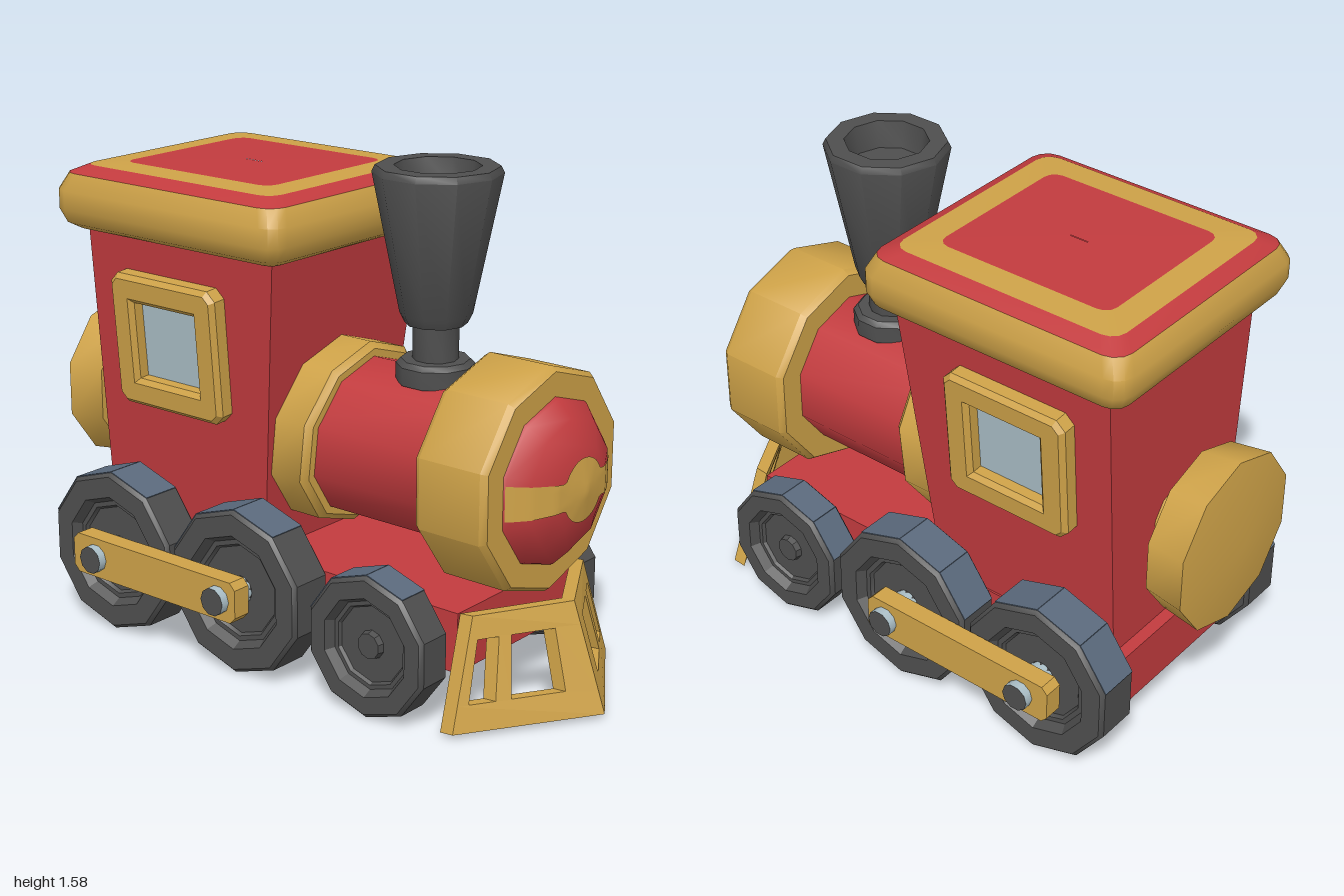
import * as THREE from 'three';
import { toCreasedNormals } from 'three/addons/utils/BufferGeometryUtils.js';
import { ConvexGeometry } from 'three/addons/geometries/ConvexGeometry.js';

const paint = (name, color) => Object.assign(new THREE.MeshStandardMaterial({ color }), { name });
const SIDES = 10;
const AXIS_Y = 0.705; // height of the boiler's centre line

// Ten-sided turned solid; pts are [radius, height]
function turned(pts, crease = 0.7) {
  const geo = new THREE.LatheGeometry(pts.map(([r, h]) => new THREE.Vector2(r, h)), SIDES);
  return toCreasedNormals(geo, crease);
}

// Solid hull of [x, y, z] corners
const hull = (pts) => new ConvexGeometry(pts.map((p) => new THREE.Vector3(...p)));

// Horizontal rounded-rectangle loop, counterclockwise from above
function roundedLoop(hx, hz, r, y, cz) {
  const out = [];
  for (let c = 0; c < 4; c++) {
    const sx = c === 0 || c === 3 ? 1 : -1, sz = c < 2 ? -1 : 1;
    for (let k = 0; k <= 3; k++) {
      const a = (c + k / 3) * Math.PI / 2;
      out.push([sx * (hx - r) + r * Math.cos(a), y, cz + sz * (hz - r) - r * Math.sin(a)]);
    }
  }
  return out;
}

// Skin between stacked loops
function loft(loops) {
  const n = loops[0].length, index = [];
  for (let i = 0; i < loops.length - 1; i++) {
    for (let t = 0; t < n; t++) {
      const a = i * n + t, b = i * n + (t + 1) % n;
      index.push(a, b, b + n, a, b + n, a + n);
    }
  }
  const geo = new THREE.BufferGeometry();
  geo.setAttribute('position', new THREE.Float32BufferAttribute(loops.flat(2), 3));
  geo.setIndex(index);
  return toCreasedNormals(geo, 0.75);
}

export function createModel() {
  const model = new THREE.Group();
  model.name = 'toyTrain';
  const red = paint('red', 0xc23b3e);
  const gold = paint('gold', 0xcea248);
  const grey = paint('darkGrey', 0x4e4e4e);
  const slate = paint('slateBlue', 0x5a697c);
  const glass = paint('paleBlue', 0xacc0c8);

  function add(name, geo, mat, x = 0, y = 0, z = 0) {
    const mesh = new THREE.Mesh(geo, mat);
    mesh.name = name;
    mesh.position.set(x, y, z);
    model.add(mesh);
    return mesh;
  }
  // Turned part lying along the boiler axis (heights become z)
  const along = (name, pts, mat) => add(name, turned(pts).rotateX(Math.PI / 2), mat, 0, AXIS_Y, 0);

  // Chassis and cab
  add('chassis', new THREE.BoxGeometry(0.58, 0.19, 1.46), red, 0, 0.255, -0.06);
  const cab = [];
  for (const s of [-1, 1]) {
    cab.push([s * 0.283, 0.34, -0.085], [s * 0.283, 0.34, -0.75], [s * 0.358, 1.32, 0.022], [s * 0.358, 1.32, -0.75]);
  }
  add('cab', hull(cab), red);

  // Roof with painted bands, each ring being [inset, y, corner radius]
  const ring = ([inset, y, r]) => roundedLoop(0.435 - inset, 0.467 - inset, r, y, -0.37);
  const roof = (name, rings, mat) => add(name, loft(rings.map(ring)), mat);
  roof('roofEdge', [[0.434, 1.3, 0.001], [0.055, 1.3, 0.03], [0.02, 1.32, 0.05], [0, 1.365, 0.06],
    [0, 1.425, 0.06], [0.025, 1.478, 0.06]], gold);
  roof('roofRim', [[0.025, 1.478, 0.06], [0.075, 1.502, 0.05]], red);
  roof('roofStripe', [[0.075, 1.502, 0.05], [0.165, 1.507, 0.04]], gold);
  roof('roofCentre', [[0.165, 1.507, 0.04], [0.434, 1.508, 0.001]], red);

  // Side windows leaning with the cab walls
  const w = 0.22, h = 0.215, c = 0.03;
  const frame = new THREE.Shape([[w, h - c], [w - c, h], [c - w, h], [-w, h - c], [-w, c - h], [c - w, -h], [w - c, -h], [w, c - h]]
    .map((p) => new THREE.Vector2(...p)));
  frame.holes.push(new THREE.Path([[-0.128, -0.125], [-0.128, 0.125], [0.128, 0.125], [0.128, -0.125]]
    .map((p) => new THREE.Vector2(...p))));
  for (const s of [-1, 1]) {
    const place = (geo) => geo.rotateY(s * Math.PI / 2).rotateZ(-s * 0.079);
    const frameGeo = new THREE.ExtrudeGeometry(frame, {
      depth: 0.045, bevelThickness: 0.015, bevelSize: 0.015, bevelOffset: -0.015, bevelSegments: 1,
    });
    add('windowFrame', place(frameGeo), gold, s * 0.328, 0.975, -0.405);
    add('windowGlass', place(new THREE.BoxGeometry(0.29, 0.285, 0.008)), glass, s * 0.335, 0.975, -0.405);
  }

  // Boiler, front ring and nose
  along('boiler', [[0, -0.1], [0.255, -0.1], [0.255, 0.6], [0, 0.6]], red);
  along('frontRing', [[0, 0.535], [0.335, 0.535], [0.35, 0.555], [0.35, 0.77], [0.335, 0.79], [0, 0.79]], gold);
  const nose = [[0.262, 0.785], [0.255, 0.8], [0.205, 0.85], [0.13, 0.888], [0, 0.91]];
  along('nose', nose, red);

  // Collar sheared to follow the cab front
  const collar = turned([[0, -0.1], [0.3, -0.1], [0.3, 0.07], [0.28, 0.09], [0, 0.09]]).rotateX(Math.PI / 2);
  const cp = collar.attributes.position;
  for (let i = 0; i < cp.count; i++) cp.setZ(i, cp.getZ(i) + cp.getY(i) * 0.11);
  add('boilerCollar', collar, gold, 0, AXIS_Y, 0);

  // Gold band with a round centre, laid on the faceted nose
  const noseDepth = (x, y) => {
    let r = 0;
    for (let k = 0; k < SIDES; k++) {
      const a = (k + 0.5) * 2 * Math.PI / SIDES;
      r = Math.max(r, (x * Math.sin(a) + y * Math.cos(a)) / Math.cos(Math.PI / SIDES));
    }
    let i = nose.length - 1;
    while (i > 1 && nose[i - 1][0] < r) i--;
    const [r1, z1] = nose[i], [r0, z0] = nose[i - 1];
    return z1 + (z0 - z1) * (r - r1) / (r0 - r1) + 0.004;
  };
  const band = new THREE.PlaneGeometry(2, 2, 40, 8);
  const bp = band.attributes.position;
  for (let i = 0; i < bp.count; i++) {
    const x = bp.getX(i) * 0.246;
    const half = Math.max(0.034 + 0.02 * Math.abs(bp.getX(i)), Math.sqrt(Math.max(0, 0.0095 - x * x)));
    const y = bp.getY(i) * half;
    bp.setXYZ(i, x, y, noseDepth(x, y));
  }
  band.computeVertexNormals();
  add('noseBand', band, gold, 0, AXIS_Y, 0);

  // Rear knob
  along('rearKnob', [[0, -1], [0.283, -0.962], [0.265, -0.83], [0.105, -0.83], [0.105, -0.7]], gold);

  // Hollow chimney
  add('chimney', turned([[0, 0.9], [0.12, 0.93], [0.12, 0.985], [0.105, 1.0], [0.07, 1.0], [0.07, 1.11], [0.095, 1.11],
    [0.11, 1.14], [0.195, 1.565], [0.185, 1.585], [0.13, 1.585], [0.115, 1.5], [0, 1.5]]), grey, 0, 0, 0.355);

  // Wheels: [z, radius, inner x, outer x]
  for (const [z, r, x0, x1] of [[0.45, 0.225, 0.325, 0.452], [-0.06, 0.267, 0.31, 0.465], [-0.59, 0.267, 0.31, 0.465]]) {
    const y = r + 0.008;
    add('axle', new THREE.CylinderGeometry(0.045, 0.045, 0.68, SIDES).rotateZ(Math.PI / 2), grey, 0, y, z);
    for (const s of [-1, 1]) {
      const wheel = turned([[0, x0], [r - 0.012, x0], [r, x0 + 0.012], [r, x1 - 0.012], [r - 0.012, x1], [r * 0.7, x1],
        [r * 0.63, x1 - 0.03], [r * 0.57, x1 - 0.03], [r * 0.54, x1 - 0.04], [0.045, x1 - 0.04], [0.04, x1 - 0.02], [0, x1 - 0.02]], 0.5);
      wheel.rotateY(Math.PI / 2).rotateZ(-Math.PI / 2);
      if (s < 0) wheel.rotateY(Math.PI);
      add('wheel', wheel, grey, 0, y, z);
      // Blue-grey plates on the upper tread
      for (const k of [-1.5, -0.5, 0.5]) {
        const a = k * 2 * Math.PI / SIDES;
        const plate = new THREE.BoxGeometry(x1 - x0 - 0.024, 0.006, 2 * r * Math.sin(Math.PI / SIDES));
        plate.translate(0, r * Math.cos(Math.PI / SIDES), 0).rotateX(a);
        add('treadPlate', plate, slate, s * (x0 + x1) / 2, y, z);
      }
    }
  }

  // Coupling rods and bolts
  const rod = new THREE.Shape([[0.35, 0.045], [0.33, 0.066], [-0.33, 0.066], [-0.35, 0.045],
    [-0.35, -0.045], [-0.33, -0.066], [0.33, -0.066], [0.35, -0.045]].map((p) => new THREE.Vector2(...p)));
  for (const s of [-1, 1]) {
    const geo = new THREE.ExtrudeGeometry(rod, { depth: 0.062, bevelEnabled: false });
    add('couplingRod', geo.translate(0, 0, -0.031).rotateY(Math.PI / 2), gold, s * 0.499, 0.275, -0.34);
    for (const z of [-0.06, -0.59]) {
      const bolt = new THREE.CylinderGeometry(0.045, 0.045, 0.14, SIDES).rotateZ(Math.PI / 2);
      add('rodBolt', bolt, [glass, grey, grey], s * 0.488, 0.275, z);
    }
  }

  // Cowcatcher: two slotted panels meeting at a point; u runs outward, v upward
  for (const s of [-1, 1]) {
    const corner = (u, v, back) => [s * u * (0.4 - 0.115 * v), 0.025 + 0.33 * v - (back ? 0.004 : 0),
      (1 - 0.26 * u) * (1 - v) + (0.88 - 0.16 * u) * v - back];
    const bar = (name, u0, u1, v0, v1) => {
      const pts = [];
      for (const u of [u0, u1]) for (const v of [v0, v1]) pts.push(corner(u, v, 0), corner(u, v, 0.045));
      add(name, hull(pts), gold);
    };
    bar('catcherBottomRail', 0, 1, 0, 0.24);
    bar('catcherTopRail', 0, 1, 0.79, 1);
    for (const [u0, u1] of [[0, 0.23], [0.62, 0.73], [0.92, 1]]) bar('catcherUpright', u0, u1, 0.2, 0.83);
  }
  return model;
}
